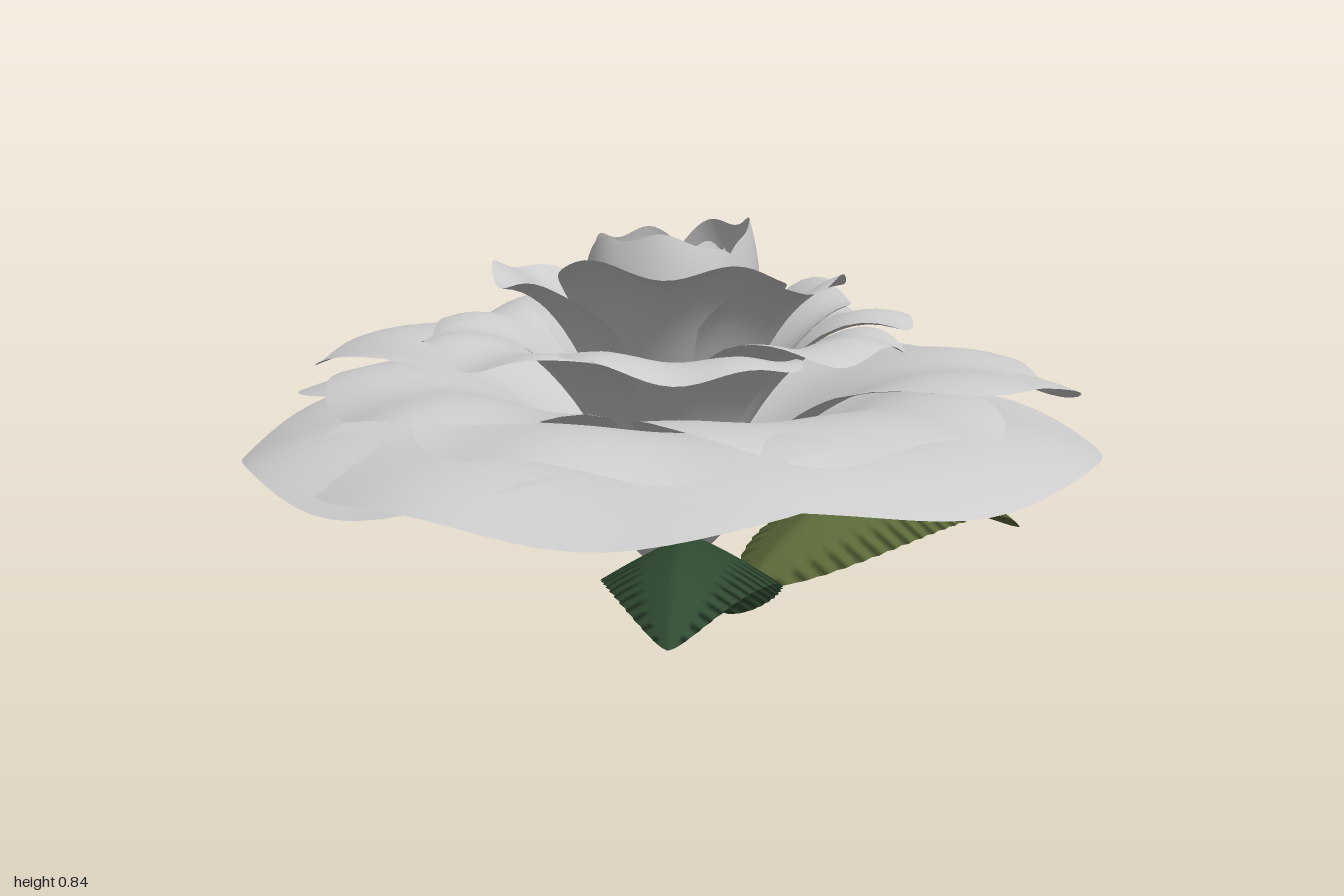
import * as THREE from 'three';
import { ParametricGeometry } from 'three/addons/geometries/ParametricGeometry.js';

const RAD = Math.PI / 180;
const BASE_Y = 0.07;

const material = (color) => new THREE.MeshStandardMaterial({ color, side: THREE.DoubleSide });
const vec = (x, y, z) => new THREE.Vector3(x, y, z);

// Petal section from the base outwards: two control points and the tip, as (radius, height)
function section(r1, y1, r2, y2, r3, y3) {
  return new THREE.CubicBezierCurve(
    new THREE.Vector2(0.02, BASE_Y), new THREE.Vector2(r1, y1),
    new THREE.Vector2(r2, y2), new THREE.Vector2(r3, y3));
}

// A petal sweeps its section through a fan of directions, with rounded outer corners,
// one side lifted over its neighbour and a wavy rim.
function petalGeometry({ curve, half, round, wave }, angle, length, height, phase) {
  const p = new THREE.Vector2();
  return new ParametricGeometry((a, v, target) => {
    const u = a * 2 - 1;
    const s = v * (1 - round * Math.pow(Math.abs(u), 4));
    curve.getPoint(s, p);
    const theta = (angle + u * half) * RAD;
    const r = p.x * length;
    const y = BASE_Y + (p.y - BASE_Y) * height
      + wave * (u * s + Math.sin(u * 8 + phase) * Math.pow(s, 4));
    target.set(r * Math.cos(theta), y, r * Math.sin(theta));
  }, 32, 20);
}

// A leaf arches along its midrib, droops to both sides and has finely toothed edges.
function leafGeometry(base, peak, tip, halfWidth, droop) {
  // Control point that makes the midrib pass through the peak
  const control = peak.clone().multiplyScalar(2).addScaledVector(base, -0.5).addScaledVector(tip, -0.5);
  const midrib = new THREE.QuadraticBezierCurve3(base, control, tip);
  const side = vec(base.z - tip.z, 0, tip.x - base.x).normalize();
  return new ParametricGeometry((a, v, target) => {
    const u = a * 2 - 1;
    const w = Math.pow(Math.max(0, Math.sin(Math.PI * Math.pow(v, 0.8))), 0.8);
    const tooth = 1 - 0.05 * ((v * 24) % 1) * Math.pow(Math.abs(u), 12);
    target.copy(midrib.getPoint(v)).addScaledVector(side, u * w * halfWidth * tooth);
    target.y -= droop * w * Math.pow(Math.abs(u), 1.2);
  }, 16, 72);
}

export function createModel() {
  const model = new THREE.Group();
  model.name = 'flower';

  const bloom = new THREE.Group();
  bloom.name = 'bloom';
  bloom.position.set(-0.11, 0, 0.01);
  model.add(bloom);
  const petalMaterial = material(0xcccccc);

  function addPetal(name, shape, angle, length, height, phase) {
    const petal = new THREE.Mesh(petalGeometry(shape, angle, length, height, phase), petalMaterial);
    petal.name = name;
    bloom.add(petal);
  }

  // A ring of open petals, each [direction, length]; those pointing towards leanAngle stand higher
  function addRing(name, curve, half, round, lean, leanAngle, petals) {
    const shape = { curve, half, round, wave: 0.016 };
    petals.forEach(([angle, length], i) => {
      const height = 1 + lean * Math.cos((angle - leanAngle) * RAD);
      addPetal(name, shape, angle, length, height, i * 2.1);
    });
  }

  addRing('outerPetal', section(0.3, 0.4, 0.6, 0.58, 0.95, 0.385), 60, 0.34, 0.09, -15,
    [[-92, 1], [-11, 0.98], [77, 0.98], [142, 0.92], [191, 0.94]]);
  addRing('secondPetal', section(0.22, 0.46, 0.5, 0.62, 0.78, 0.5), 46, 0.4, 0.08, -70,
    [[-66, 1.02], [-118, 1.03], [182, 0.93], [128, 1.05], [83, 1], [28, 1.02]]);
  addRing('middlePetal', section(0.14, 0.42, 0.3, 0.7, 0.52, 0.6), 44, 0.4, 0.02, -50,
    [[10, 1], [64, 0.98], [116, 1], [178, 1.02], [225, 0.97], [272, 0.95]]);
  addRing('innerPetal', section(0.13, 0.42, 0.22, 0.68, 0.38, 0.71), 56, 0.3, 0.1, 130,
    [[-18, 1.1], [50, 0.97], [118, 1], [200, 0.98], [272, 0.95]]);

  // Closed bud: three nested cups of three petals each
  const bud = { curve: section(0.16, 0.4, 0.23, 0.62, 0.165, 0.83), half: 74, round: 0.15, wave: 0.01 };
  for (let layer = 0; layer < 3; layer++) {
    for (let i = 0; i < 3; i++) {
      addPetal('budPetal', bud, 10 + layer * 60 + i * 120,
        1 - 0.32 * layer - 0.03 * i, 1 - 0.05 * layer - 0.02 * i, layer + i * 2.1);
    }
  }

  // Two leaves below the bloom
  function addLeaf(name, color, base, peak, tip, halfWidth) {
    const leaf = new THREE.Mesh(leafGeometry(base, peak, tip, halfWidth, 0.09), material(color));
    leaf.name = name;
    model.add(leaf);
  }
  addLeaf('frontLeaf', 0x2f4a30, vec(-0.11, 0.04, 0.2), vec(-0.39, 0.315, 0.58), vec(-0.63, 0.22, 0.93), 0.17);
  addLeaf('sideLeaf', 0x5b6838, vec(0.05, 0.045, 0.06), vec(0.5, 0.215, -0.06), vec(1, 0, -0.21), 0.2);

  return model;
}
